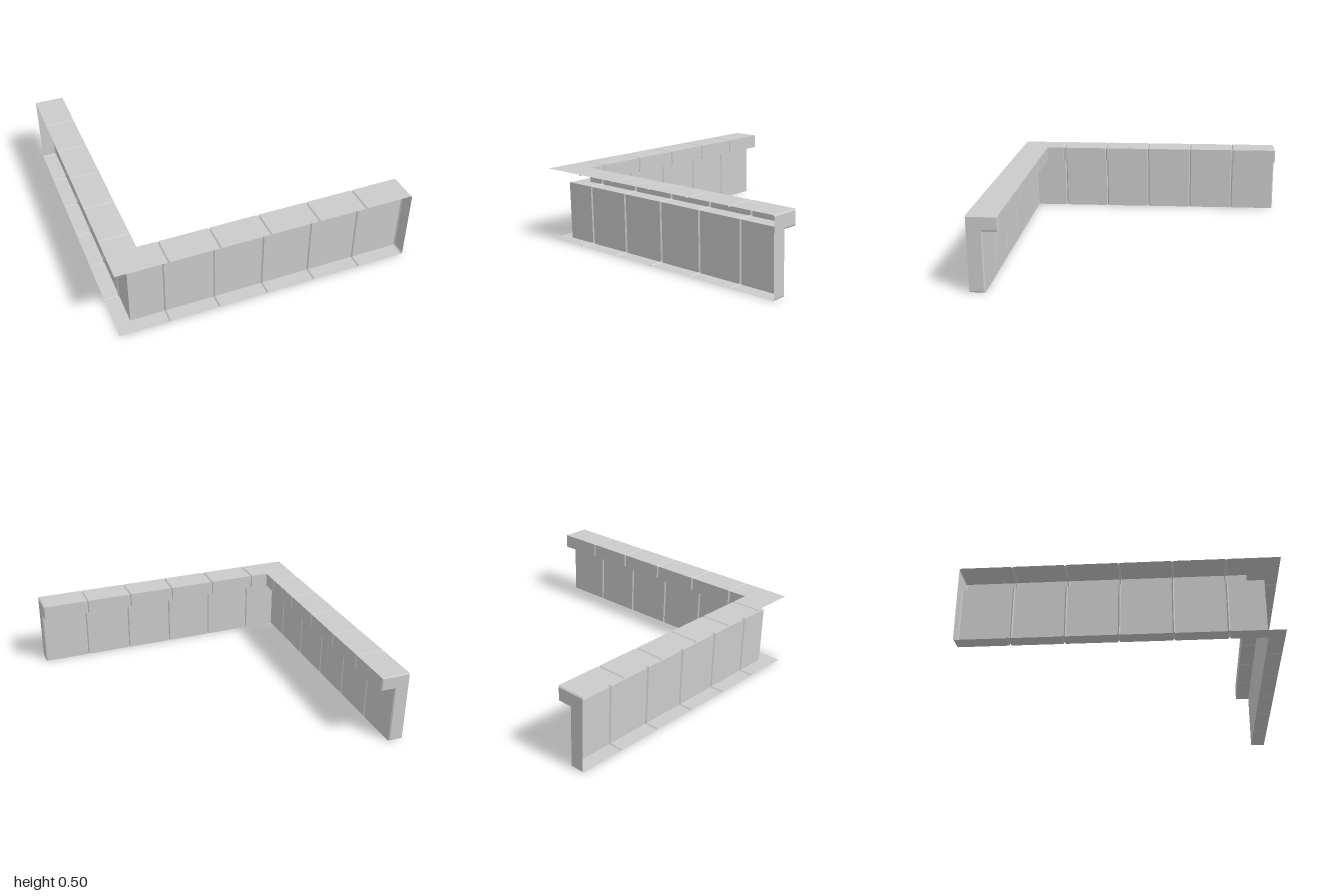
import * as THREE from 'three';

const material = new THREE.MeshStandardMaterial({ color: 0xcccccc, side: THREE.DoubleSide, flatShading: true });

const BLOCK = 1 / 3;    // block length along the wall
const BEVEL = 0.008;    // half width of a groove between blocks

// Cross-sections as [distance in from the outer side, height]; the outer side is open
const FULL = [[0, 0.5], [0.2, 0.5], [0.2, 0.4], [0.1, 0.4], [0.1, 0], [0, 0]];
const INSET = [[0, 0.492], [0.192, 0.492], [0.192, 0.408], [0.092, 0.408], [0.092, 0.008], [0, 0.008]];

// Places a cross-section at x; a mitred one follows the 45 degree corner line
const station = (section, x, mitred = false) =>
  section.map(([d, y]) => [mitred ? x + d : x, y, 1 - d]);

// Joins successive cross-sections with quads
function skin(stations) {
  const positions = [];
  for (let s = 0; s < stations.length - 1; s++) {
    const a = stations[s], b = stations[s + 1];
    for (let i = 0; i < a.length - 1; i++) {
      positions.push(...a[i], ...b[i], ...b[i + 1], ...a[i], ...b[i + 1], ...a[i + 1]);
    }
  }
  const geometry = new THREE.BufferGeometry();
  geometry.setAttribute('position', new THREE.Float32BufferAttribute(positions, 3));
  geometry.computeVertexNormals();
  return geometry;
}

function addMesh(group, name, geometry) {
  const mesh = new THREE.Mesh(geometry, material);
  mesh.name = name;
  group.add(mesh);
}

// One straight run of six blocks from the corner to x = 1
function createArm(name) {
  const arm = new THREE.Group();
  arm.name = name;
  for (let k = 0; k < 6; k++) {
    const start = -1 + k * BLOCK, end = start + BLOCK;
    const head = k === 0
      ? [station(FULL, -1, true)]
      : [station(INSET, start), station(FULL, start + BEVEL)];
    const tail = [station(FULL, end - BEVEL), station(INSET, end)];
    addMesh(arm, k === 0 ? 'cornerBlock' : `wallBlock${k}`, skin([...head, ...tail]));
  }
  // Flat face closing the free end
  const outline = new THREE.Shape(INSET.map(([d, y]) => new THREE.Vector2(d, y)));
  addMesh(arm, 'endFace', new THREE.ShapeGeometry(outline).rotateY(Math.PI / 2).translate(1, 0, 1));
  return arm;
}

export function createModel() {
  const model = new THREE.Group();
  model.name = 'cornerWall';
  model.add(createArm('frontArm'));
  // The side arm mirrors the front arm across the mitre line
  const side = createArm('sideArm');
  side.scale.z = -1;
  side.rotation.y = Math.PI / 2;
  model.add(side);
  return model;
}
